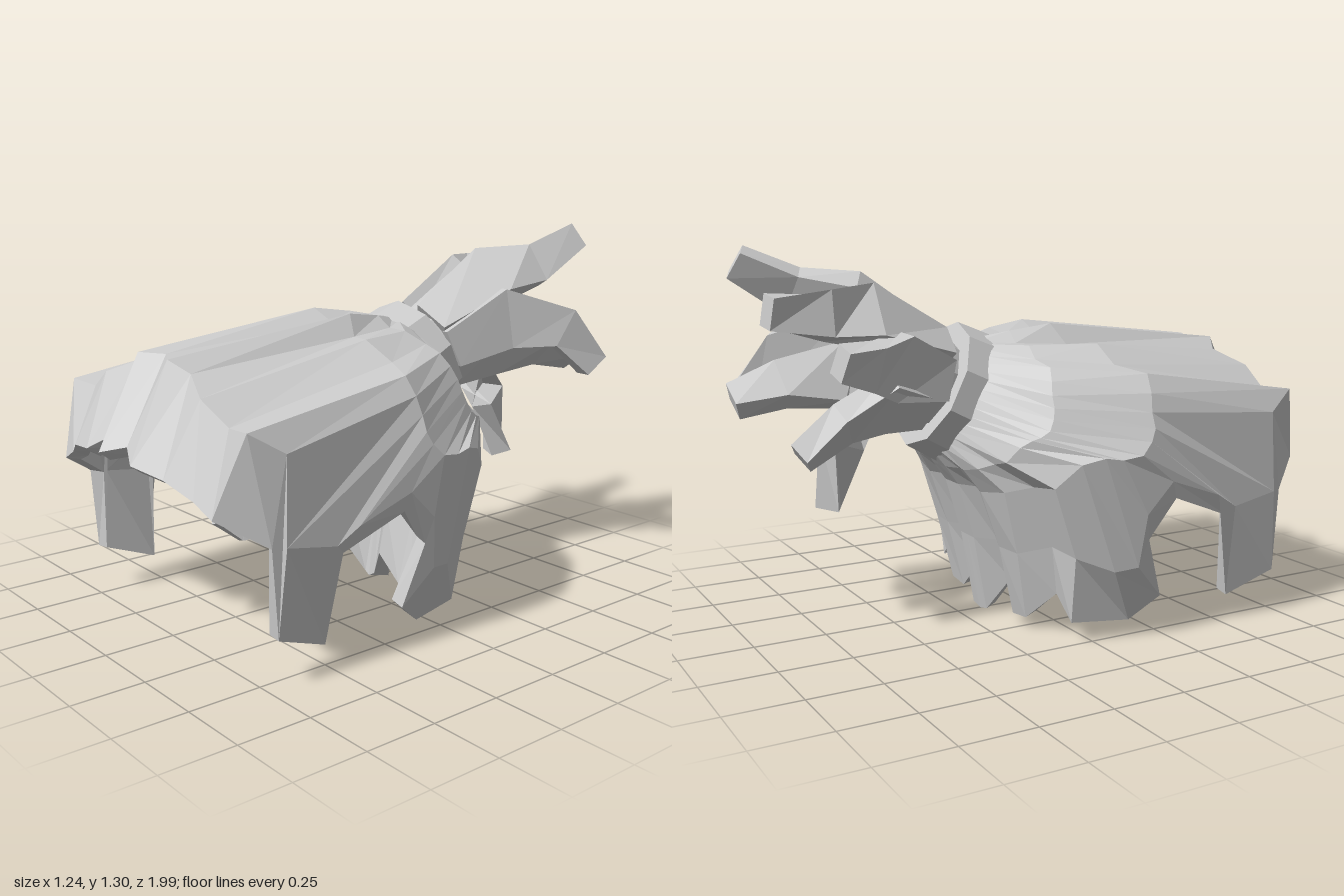
import * as THREE from 'three';

const V = (x, y, z) => new THREE.Vector3(x, y, z);
const material = new THREE.MeshStandardMaterial({ color: 0xcccccc, flatShading: true, side: THREE.DoubleSide });

// Neck axis (up and back) and the matching "up" direction in the neck plane
const axis = V(0, 0.44, -0.9).normalize();
const up = V(0, 0.9, 0.44).normalize();
const neckCentre = V(0, 0.8, -0.275);

// Point on a circle around the neck axis; angle 0 is the top, growing towards +x
const around = (centre, radius, angle) => centre.clone()
  .addScaledVector(up, radius * Math.cos(angle))
  .add(V(radius * Math.sin(angle), 0, 0));

// Skin rows of points that each form a closed loop
function skin(rows) {
  const n = rows[0].length, index = [];
  for (let r = 0; r < rows.length - 1; r++) {
    for (let i = 0; i < n; i++) {
      const j = (i + 1) % n;
      const a = r * n + i, b = a + n, c = (r + 1) * n + j, d = r * n + j;
      index.push(a, b, c, a, c, d);
    }
  }
  const geometry = new THREE.BufferGeometry().setFromPoints(rows.flat());
  geometry.setIndex(index);
  geometry.computeVertexNormals();
  return geometry;
}

function addPart(group, name, geometry) {
  const flat = geometry.toNonIndexed();
  flat.computeVertexNormals();
  const mesh = new THREE.Mesh(flat, material);
  mesh.name = name;
  group.add(mesh);
  return mesh;
}

// Half outlines of the cloth, from the middle of the roof round the side to the middle of the back
const shoulder = [
  [0, .99, .07], [.1, 1.03, .07], [.16, .96, .1], [.28, .97, .15], [.4, .91, .14],
  [.52, .89, .19], [.56, .83, .18], [.58, .77, .17], [.6, .72, .17], [.61, .68, .15],
  [.62, .64, .11], [.61, .63, .04], [.6, .64, -.02], [.57, .62, -.09], [.52, .54, -.16],
  [.42, .53, -.18], [.33, .5, -.24], [.2, .48, -.26], [.12, .48, -.23], [.05, .48, -.27], [0, .48, -.27],
];
const brow = [
  [0, .95, .74], [.09, .95, .79], [.16, .91, .75], [.29, .86, .8], [.41, .79, .78],
  [.53, .8, .8], [.57, .73, .69], [.58, .45, .7], [.59, .42, .52], [.6, .47, .44],
  [.61, .54, .24], [.61, .44, .14], [.59, .26, .12], [.57, .25, .04], [.52, .3, -.08],
  [.42, .32, -.11], [.31, .28, -.18], [.2, .28, -.19], [.12, .28, -.15], [.05, .28, -.21], [0, .28, -.21],
];
const hem = [
  [0, .67, .99], [.07, .69, .93], [.14, .65, .96], [.28, .63, .93], [.38, .58, .89],
  [.46, .54, .88], [.56, .45, .74], [.56, .16, .72], [.54, .09, .53], [.58, .39, .49],
  [.6, .48, .26], [.59, .35, .16], [.56, .14, .23], [.52, .06, .13], [.48, .07, -.07],
  [.4, .15, -.08], [.28, .04, -.13], [.19, .03, -.13], [.12, .13, -.1], [.05, .01, -.16], [0, 0, -.16],
];

// Complete a half outline by mirroring it in x
const mirrored = half => [
  ...half.map(p => V(...p)),
  ...half.slice(1, -1).reverse().map(([x, y, z]) => V(-x, y, z)),
];

// Draped cloth: outer skin, hem edge and an inner skin set in by the thickness
function clothGeometry(thickness) {
  const s = mirrored(shoulder), n = s.length;
  const angle = i => (i / n) * Math.PI * 2;
  const neck = s.map((_, i) => around(neckCentre, 0.21, angle(i)));
  const bulge = s.map((p, i) => {
    const side = Math.sin(angle(i));
    const back = 0.07 * Math.abs(side) * (1 + Math.cos(angle(i)));
    return neck[i].clone().lerp(p, 0.5).add(V(side * 0.06, 0, -back));
  });
  const outer = [neck, bulge, s, mirrored(brow), mirrored(hem)];
  const normals = skin(outer).getAttribute('normal');
  const inner = outer.map((row, r) => row.map((p, i) =>
    p.clone().addScaledVector(V(0, 0, 0).fromBufferAttribute(normals, r * n + i), -thickness)));
  return skin([...outer, ...inner.reverse()]);
}

// Open flared cup gathered behind the neck, longer along its top
function cupGeometry() {
  const sides = 10;
  const ring = (distance, radius, slant = 0) => Array.from({ length: sides }, (_, i) => {
    const a = -(i / sides) * Math.PI * 2;
    const centre = neckCentre.clone().addScaledVector(axis, distance + slant * Math.cos(a));
    return around(centre, radius, a);
  });
  return skin([
    ring(0.03, 0.16), ring(0.14, 0.17), ring(0.32, 0.19, 0.13), ring(0.32, 0.14, 0.13), ring(0.06, 0.1),
  ]);
}

// Tapering flap of cloth: a rectangular section swept along a bent path
function flapGeometry(path, widths, thickness) {
  const points = path.map(p => V(...p));
  const last = points.length - 1;
  const rows = points.map((p, k) => {
    const t = points[Math.min(k + 1, last)].clone().sub(points[Math.max(k - 1, 0)]).normalize();
    const out = p.clone().sub(neckCentre);
    out.addScaledVector(axis, -out.dot(axis));
    out.addScaledVector(t, -out.dot(t)).normalize();
    const side = out.clone().cross(t);
    const w = widths[k] / 2, h = thickness / 2;
    return [[h, -w], [h, w], [-h, w], [-h, -w]].map(([a, b]) =>
      p.clone().addScaledVector(out, a).addScaledVector(side, b));
  });
  const cap = p => Array.from({ length: 4 }, () => p.clone());
  return skin([cap(points[0]), ...rows, cap(points[last])]);
}

export function createModel() {
  const model = new THREE.Group();
  model.name = 'tiedCloth';

  addPart(model, 'drapedCloth', clothGeometry(0.055));

  // Band tied round the neck
  const band = addPart(model, 'neckBand', new THREE.CylinderGeometry(0.23, 0.24, 0.13, 10));
  band.position.copy(neckCentre).addScaledVector(axis, 0.01);
  band.quaternion.setFromUnitVectors(V(0, 1, 0), axis);
  band.scale.x = 0.95;

  addPart(model, 'gatheredCup', cupGeometry());

  // Loose flaps fanning out of the cup
  const flaps = new THREE.Group();
  flaps.name = 'looseFlaps';
  model.add(flaps);
  const paths = {
    upperLeftFlap: [[.08, .96, -.33], [.12, 1.12, -.6], [.18, 1.15, -.77], [.22, 1.25, -.95]],
    upperRightFlap: [[-.08, .96, -.33], [-.11, 1.08, -.6], [-.15, 1.09, -.77], [-.17, 1.11, -.97]],
    leftFlap: [[.15, .87, -.36], [.22, .97, -.58], [.33, .93, -.77], [.38, .78, -.89]],
    rightFlap: [[-.14, .86, -.36], [-.19, .92, -.55], [-.23, .93, -.65], [-.25, .95, -.77]],
    lowerLeftFlap: [[.13, .8, -.39], [.17, .86, -.6], [.18, .84, -.82], [.2, .79, -.98]],
    lowerRightFlap: [[-.11, .77, -.41], [-.14, .8, -.57], [-.13, .74, -.72], [-.12, .64, -.86]],
    hangingFlap: [[.04, .76, -.41], [.05, .79, -.55], [.07, .64, -.65], [.08, .42, -.7]],
  };
  for (const [name, path] of Object.entries(paths)) {
    addPart(flaps, name, flapGeometry(path, [0.14, 0.22, 0.15, 0.1], 0.08));
  }
  return model;
}
